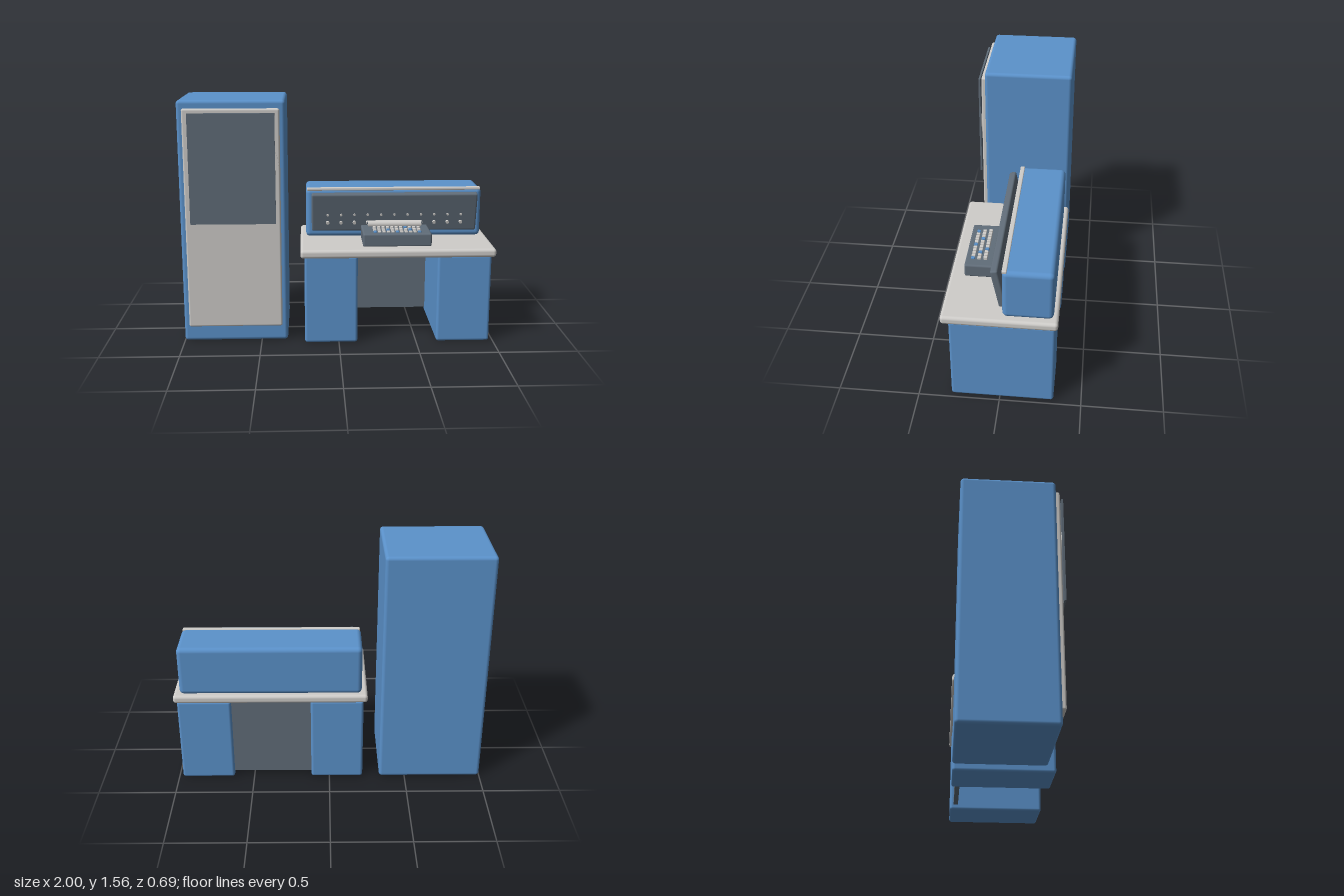
import * as THREE from 'three';
import { RoundedBoxGeometry } from 'three/addons/geometries/RoundedBoxGeometry.js';

const mat = (name, color) => {
  const m = new THREE.MeshStandardMaterial({ color });
  m.name = name;
  return m;
};

export function createModel() {
  const root = new THREE.Group();
  root.name = 'computerWorkstation';
  const blue = mat('blue', 0x5b92cb);
  const slate = mat('slate', 0x616d79);
  const light = mat('lightGrey', 0xcfcdca);

  const add = (parent, name, geometry, material, x = 0, y = 0, z = 0) => {
    const mesh = new THREE.Mesh(geometry, material);
    mesh.name = name;
    mesh.position.set(x, y, z);
    parent.add(mesh);
    return mesh;
  };
  // Box given by its limits; r > 0 rounds the edges
  const box = (parent, name, material, [x0, x1], [y0, y1], [z0, z1], r = 0) => {
    const s = [x1 - x0, y1 - y0, z1 - z0];
    const g = r ? new RoundedBoxGeometry(...s, 3, r) : new THREE.BoxGeometry(...s);
    return add(parent, name, g, material, (x0 + x1) / 2, (y0 + y1) / 2, (z0 + z1) / 2);
  };
  const group = (name) => {
    const g = new THREE.Group();
    g.name = name;
    root.add(g);
    return g;
  };
  // Disc facing the front
  const disc = (r, depth, sides = 32) => new THREE.CylinderGeometry(r, r, depth, sides).rotateX(Math.PI / 2);

  // Tape cabinet
  const cabinet = group('tapeCabinet');
  box(cabinet, 'cabinetBody', blue, [-1, -0.33], [0, 1.56], [-0.333, 0.235], 0.022);
  box(cabinet, 'cabinetFace', light, [-0.965, -0.365], [0.105, 1.51], [0.225, 0.262], 0.012);
  box(cabinet, 'cabinetDoor', slate, [-0.93, -0.395], [0.79, 1.485], [0.273, 0.285]);
  for (const x of [-0.815, -0.515]) {
    add(cabinet, 'tapeReel', disc(0.14, 0.006), light, x, 1.17, 0.264);
    add(cabinet, 'tapeWinding', disc(0.09, 0.004), slate, x, 1.17, 0.268);
    add(cabinet, 'reelHub', disc(0.035, 0.008), blue, x, 1.17, 0.269);
  }
  box(cabinet, 'tapeHead', slate, [-0.73, -0.6], [0.89, 0.97], [0.26, 0.27]);

  // Desk
  const desk = group('desk');
  box(desk, 'deskTop', light, [-0.245, 0.995], [0.575, 0.63], [-0.345, 0.345], 0.02);
  for (const x of [[-0.22, 0.12], [0.63, 0.975]]) {
    box(desk, 'pedestal', blue, x, [0, 0.58], [-0.33, 0.3], 0.018);
  }
  box(desk, 'modestyPanel', slate, [0.11, 0.64], [0.035, 0.56], [-0.305, -0.275]);

  // Console on the desk
  const consoleUnit = group('console');
  box(consoleUnit, 'consoleBody', blue, [-0.208, 0.955], [0.626, 0.952], [-0.317, -0.016], 0.03);
  box(consoleUnit, 'consoleTrim', light, [-0.2, 0.948], [0.938, 0.958], [-0.045, -0.016], 0.006);

  // Leaning indicator panel
  const panel = new THREE.Group();
  panel.name = 'indicatorPanel';
  panel.position.set(0.375, 0.802, 0.008);
  panel.rotation.x = 0.2;
  consoleUnit.add(panel);
  add(panel, 'panelPlate', new RoundedBoxGeometry(1.09, 0.262, 0.045, 3, 0.012), slate);
  for (let i = 0; i < 11; i++) {
    const x = (i - 5) * 0.088;
    add(panel, 'indicatorLamp', disc(0.008, 0.012, 12), light, x, -0.012, 0.024);
    add(panel, 'toggleButton', disc(0.011, 0.022, 12), light, x, -0.066, 0.026);
  }

  // Keyboard terminal
  const keyboard = group('keyboard');
  box(keyboard, 'keyboardBody', slate, [0.155, 0.595], [0.625, 0.712], [-0.003, 0.256], 0.012);
  add(keyboard, 'platen', new THREE.CylinderGeometry(0.025, 0.025, 0.35, 24).rotateZ(Math.PI / 2), light, 0.375, 0.723, 0.035);
  add(keyboard, 'platenShaft', new THREE.CylinderGeometry(0.009, 0.009, 0.364, 16).rotateZ(Math.PI / 2), slate, 0.375, 0.73, 0.03);

  // Key rows, rising towards the back
  const rows = [
    { z: 0.133, top: 0.731, blues: [7] },
    { z: 0.172, top: 0.726, blues: [3, 8] },
    { z: 0.211, top: 0.721, blues: [0, 5, 10] },
  ];
  const keyGeometry = new RoundedBoxGeometry(0.02, 0.024, 0.024, 2, 0.004);
  for (const { z, top, blues } of rows) {
    for (let i = 0; i < 11; i++) {
      add(keyboard, 'key', keyGeometry, blues.includes(i) ? blue : light, 0.235 + i * 0.0285, top - 0.012, z);
    }
  }
  return root;
}
